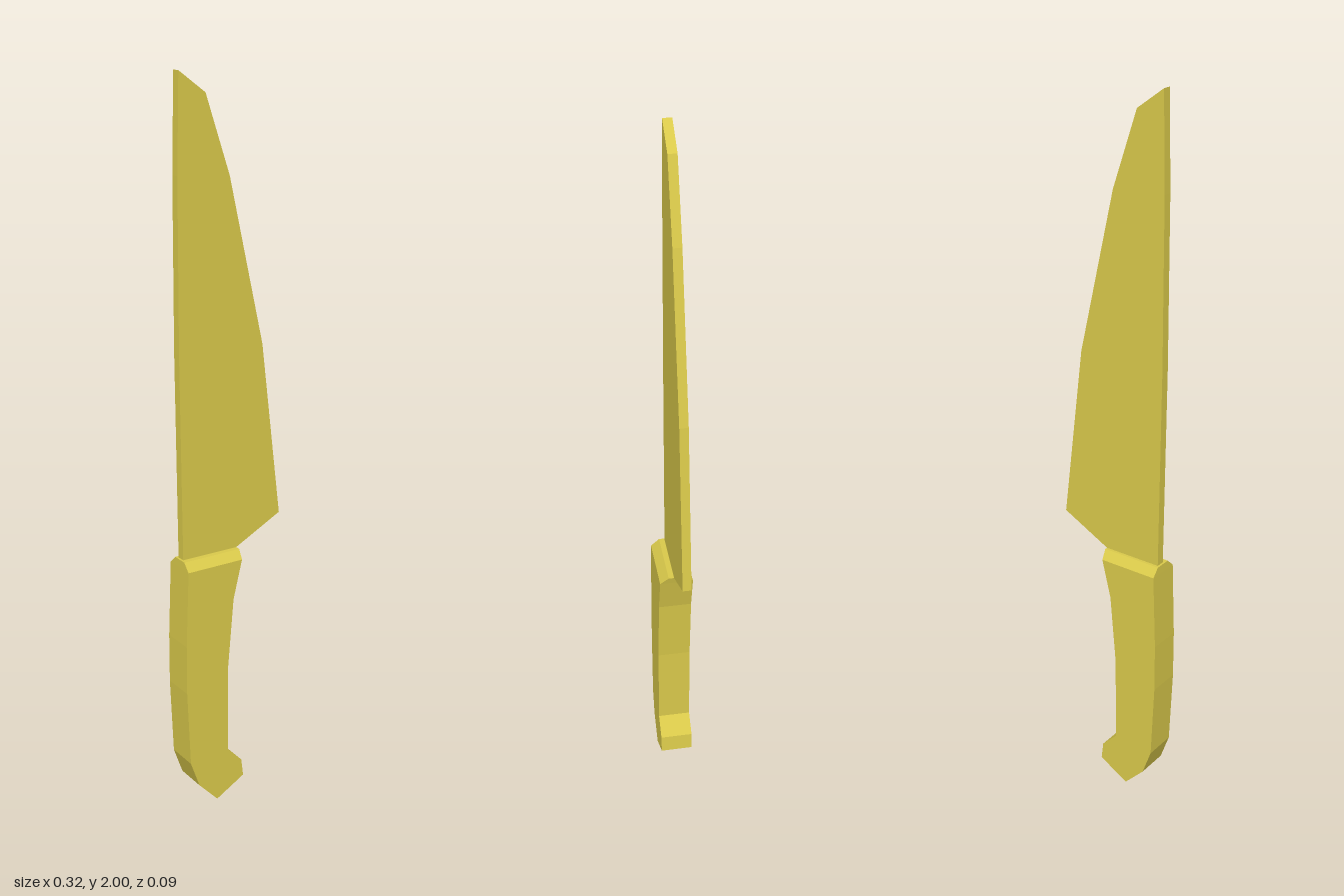
import * as THREE from 'three';

const material = new THREE.MeshStandardMaterial({ color: 0xd8c84a, flatShading: true });

// Extrude a side outline between two depths
function slab(name, points, zBack, zFront) {
  const shape = new THREE.Shape(points.map(([x, y]) => new THREE.Vector2(x, y)));
  const geometry = new THREE.ExtrudeGeometry(shape, { depth: zFront - zBack, bevelEnabled: false });
  geometry.translate(0, 0, zBack);
  const mesh = new THREE.Mesh(geometry, material);
  mesh.name = name;
  return mesh;
}

export function createModel() {
  const knife = new THREE.Group();
  knife.name = 'knife';

  // Blade: straight spine on the right, curved edge on the left
  knife.add(slab('blade', [
    [-0.147, 0.73], [0.008, 0.73], [0.161, 0.81], [0.102, 1.295], [0, 1.74],
    [-0.07, 1.945], [-0.146, 2], [-0.152, 1.75], [-0.153, 1.3],
  ], -0.017, 0.007));

  // Handle: slightly bowed grip with a hooked pommel
  knife.add(slab('handle', [
    [-0.154, 0.715], [-0.162, 0.5], [-0.162, 0.36], [-0.152, 0.14], [-0.125, 0.063],
    [-0.066, 0], [0.021, 0.049], [0.015, 0.1], [-0.03, 0.147], [-0.03, 0.4],
    [-0.012, 0.605], [0.015, 0.715],
  ], -0.047, 0.045));

  // Bolster: chamfered top of the handle
  const cap = new THREE.BoxGeometry(1, 1, 1);
  const p = cap.attributes.position;
  for (let i = 0; i < p.count; i++) {
    const top = p.getY(i) > 0, left = p.getX(i) > 0, front = p.getZ(i) > 0;
    p.setXYZ(i,
      left ? (top ? 0.021 : 0.015) : (top ? -0.153 : -0.154),
      top ? 0.737 : 0.715,
      front ? (top ? 0.022 : 0.045) : (top ? -0.025 : -0.047));
  }
  cap.computeVertexNormals();
  const bolster = new THREE.Mesh(cap, material);
  bolster.name = 'bolster';
  knife.add(bolster);

  return knife;
}
